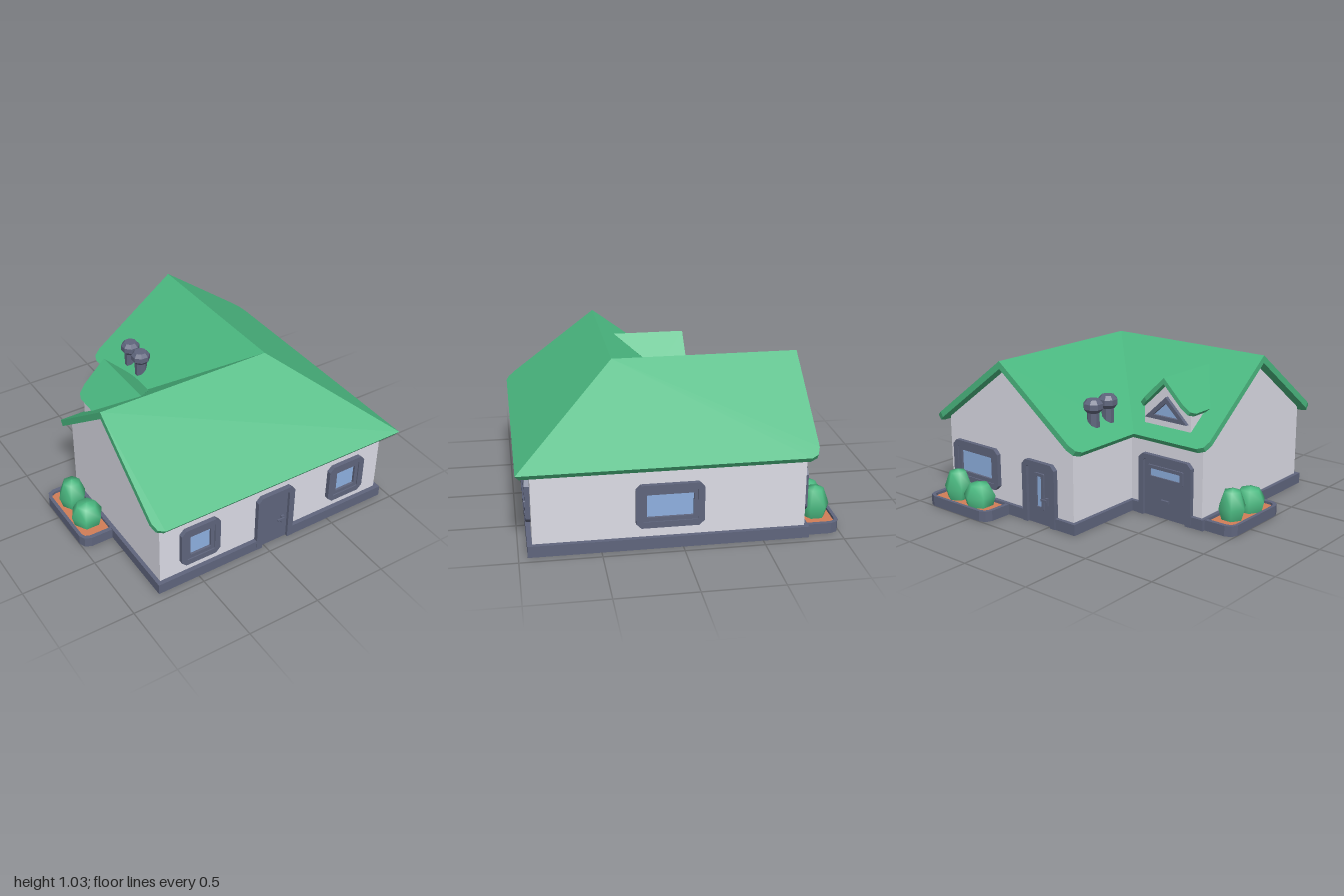
import * as THREE from 'three';

const mat = (name, color) => {
  const m = new THREE.MeshStandardMaterial({ color });
  m.name = name;
  return m;
};

export function createModel() {
  const green = mat('green', 0x4bb981);
  const wall = mat('wall grey', 0xdcdce6);
  const slate = mat('slate', 0x5f657d);
  const glass = mat('glass blue', 0x8eb0e0);
  const soil = mat('soil', 0xd27e57);
  const house = new THREE.Group();
  house.name = 'house';

  const add = (parent, name, geo, m, x = 0, y = 0, z = 0) => {
    const mesh = new THREE.Mesh(geo, m);
    mesh.name = name;
    mesh.position.set(x, y, z);
    parent.add(mesh);
  };
  const group = (name, x, z, turn) => {
    const g = new THREE.Group();
    g.name = name;
    g.position.set(x, 0, z);
    g.rotation.y = turn;
    house.add(g);
    return g;
  };
  const vecs = pts => pts.map(([x, y]) => new THREE.Vector2(x, y));
  // Extrude an outline along +z, with an optional hole
  const extrude = (pts, depth, hole) => {
    const s = new THREE.Shape(vecs(pts));
    if (hole) s.holes.push(new THREE.Path(vecs(hole)));
    return new THREE.ExtrudeGeometry(s, { depth, bevelEnabled: false });
  };
  // Extrude a plan outline given as (x, z) upwards
  const flat = (pts, h, hole) => {
    const f = p => p.map(([x, z]) => [x, -z]);
    return extrude(f(pts), h, hole && f(hole)).rotateX(-Math.PI / 2);
  };
  // Rectangle with chamfered top corners, optionally bottom corners too
  const panel = (w, y0, y1, c, bottom) => {
    const a = w / 2, pts = bottom ? [[a - c, y0], [a, y0 + c]] : [[a, y0]];
    pts.push([a, y1 - c], [a - c, y1], [c - a, y1], [-a, y1 - c]);
    return pts.concat(bottom ? [[-a, y0 + c], [c - a, y0]] : [[-a, y0]]);
  };

  // Walls: low L-shaped block plus a gabled prism for each wing
  const W0 = -0.765, W1 = 0.915, IN = -0.195, MID = 0.36;
  add(house, 'walls', flat([[W0, IN], [W0, W1], [W1, W1], [W1, W0], [IN, W0], [IN, IN]], 0.545), wall, 0, 0.015, 0);
  const gable = [[IN, 0.3], [W1, 0.3], [W1, 0.56], [MID, 0.975], [IN, 0.56]];
  add(house, 'backGable', extrude(gable, MID - W0), wall, 0, 0, W0);
  const turned = gable.map(([z, y]) => [-z, y]);
  add(house, 'leftGable', extrude(turned, MID - W0).rotateY(Math.PI / 2), wall, W0, 0, 0);

  // Plinth with notches at the three doors
  const P0 = -0.791, P1 = 0.945, PI = -0.222;
  add(house, 'plinth', flat([
    [P0, PI], [P0, P1], [-0.025, P1], [-0.025, W1], [0.175, W1], [0.175, P1], [P1, P1], [P1, P0],
    [0.18, P0], [0.18, W0], [-0.02, W0], [-0.02, P0], [PI, P0], [PI, PI],
    [-0.315, PI], [-0.315, IN], [-0.655, IN], [-0.655, PI],
  ], 0.073), slate);

  // Solid roof slab between a convex top outline and its lower copy
  const slab = (top, low) => {
    const pos = [];
    const tri = (...p) => p.forEach(v => pos.push(...v));
    top.forEach((a, i) => {
      const j = (i + 1) % top.length;
      tri(a, low[i], low[j]);
      tri(a, low[j], top[j]);
      if (i > 0 && j > 0) {
        tri(top[0], a, top[j]);
        tri(low[0], low[j], low[i]);
      }
    });
    const g = new THREE.BufferGeometry();
    g.setAttribute('position', new THREE.Float32BufferAttribute(pos, 3));
    g.computeVertexNormals();
    return g;
  };

  // Main roof: two slopes per wing, the second wing swaps x and z
  const k = 0.9625;
  const shrink = v => (v < -0.5 ? v : MID + (v - MID) * k);
  const height = z => 1.035 - 0.75 * Math.abs(z - MID);
  const slopes = {
    outer: [[-0.83, MID], [-0.83, 0.94], [-0.812, 0.982], [-0.77, 1], [1, 1], [MID, MID]],
    inner: [[MID, MID], [-0.28, -0.28], [-0.77, -0.28], [-0.812, -0.262], [-0.83, -0.22], [-0.83, MID]],
  };
  for (const [name, pts] of Object.entries(slopes)) {
    const top = pts.map(([x, z]) => [x, height(z), z]);
    const low = pts.map(([x, z]) => [shrink(x), height(shrink(z)) - 0.05, shrink(z)]);
    const swap = p => p.map(([x, y, z]) => [z, y, x]).reverse();
    add(house, name + 'RoofFrontWing', slab(top, low), green);
    add(house, name + 'RoofSideWing', slab(swap(top), swap(low)), green);
  }

  // Dormer with a triangular window facing back
  const dormer = group('dormer', -0.485, 0, 0);
  const dh = x => 0.949 - 0.98 * Math.abs(x);
  const dp = [[0, -0.24], [0, 0.245], [0.21, -0.03], [0.21, -0.18], [0.195, -0.222], [0.15, -0.24]];
  for (const s of [1, -1]) {
    const top = dp.map(([x, z]) => [s * x, dh(x), z]);
    const low = dp.map(([x, z]) => [s * x * 0.91, dh(x * 0.91) - 0.04, z]);
    if (s < 0) { top.reverse(); low.reverse(); }
    add(dormer, 'dormerRoof', slab(top, low), green);
  }
  add(dormer, 'dormerWall', extrude([[-0.182, 0.6], [0.182, 0.6], [0.182, 0.728], [0, 0.9], [-0.182, 0.728]], 0.34), wall, 0, 0, -0.195);
  const hole = [[-0.1, 0.69], [0.1, 0.69], [0, 0.78]];
  add(dormer, 'dormerFrame', extrude([[-0.165, 0.665], [0.165, 0.665], [0, 0.82]], 0.025, hole), slate, 0, 0, -0.219);
  add(dormer, 'dormerGlass', extrude(hole, 0.006), glass, 0, 0, -0.2);

  // Windows: outer frame, stepped inner frame and glass
  const pane = (g, w, y0, y1, z) =>
    add(g, 'glass', new THREE.BoxGeometry(w, y1 - y0, 0.008), glass, 0, (y0 + y1) / 2, z);
  const ring = (g, name, w, y0, y1, c, t, depth, z = 0) =>
    add(g, name, extrude(panel(w, y0, y1, c, true), depth, panel(w - 2 * t, y0 + t, y1 - t, 0.004, true)), slate, 0, 0, z);
  const makeWindow = (name, x, z, turn, w) => {
    const g = group(name, x, z, turn);
    ring(g, 'outerFrame', w, 0.14, 0.42, 0.032, 0.04, 0.03);
    ring(g, 'innerFrame', w - 0.08, 0.18, 0.38, 0.002, 0.026, 0.022);
    pane(g, w - 0.13, 0.205, 0.355, 0.002);
  };
  makeWindow('frontWindowRight', -0.485, W1, 0, 0.28);
  makeWindow('frontWindowLeft', 0.635, W1, 0, 0.28);
  makeWindow('sideWindow', W1, 0.08, Math.PI / 2, 0.42);
  makeWindow('backWindow', 0.655, W0, Math.PI, 0.42);

  // Doors: surround open at the bottom, recessed leaf
  const makeDoor = (name, x, z, turn, w) => {
    const g = group(name, x, z, turn);
    const inner = panel(w - 0.08, 0, 0.385, 0.01).reverse();
    add(g, 'surround', extrude([...panel(w, 0, 0.42, 0.032), ...inner], 0.032), slate);
    add(g, 'leaf', new THREE.BoxGeometry(w - 0.08, 0.385, 0.012), slate, 0, 0.1925, 0.006);
    return g;
  };
  const addHandle = g => {
    add(g, 'handlePlate', new THREE.BoxGeometry(0.022, 0.05, 0.014), slate, 0.063, 0.165, 0.017);
    add(g, 'handleLever', new THREE.BoxGeometry(0.05, 0.014, 0.01), slate, 0.045, 0.172, 0.028);
  };
  addHandle(makeDoor('frontDoor', 0.075, W1, 0, 0.28));
  const backDoor = makeDoor('backDoor', 0.08, W0, Math.PI, 0.28);
  addHandle(backDoor);
  ring(backDoor, 'paneFrame', 0.08, 0.1, 0.345, 0.004, 0.02, 0.012, 0.012);
  pane(backDoor, 0.042, 0.118, 0.327, 0.01);
  const garage = makeDoor('garageDoor', -0.485, IN, Math.PI, 0.42);
  ring(garage, 'paneFrame', 0.28, 0.255, 0.35, 0.004, 0.022, 0.012, 0.012);
  pane(garage, 0.24, 0.275, 0.33, 0.01);
  add(garage, 'garageHandle', new THREE.BoxGeometry(0.06, 0.018, 0.016), slate, 0, 0.12, 0.02);

  // Planters with two faceted bushes
  const bush = (g, x, pts) =>
    add(g, 'bush', new THREE.LatheGeometry(vecs(pts), 6), green, x, 0, 0.113);
  const makePlanter = (name, x, z, turn) => {
    const g = group(name, x, z, turn);
    const bed = (a, z0, z1, c) => [[-a, z0], [-a, z1 - c], [-a + c * 0.3, z1 - c * 0.3], [-a + c, z1],
      [a - c, z1], [a - c * 0.3, z1 - c * 0.3], [a, z1 - c], [a, z0]];
    const outer = bed(0.278, 0.005, 0.235, 0.06), inside = bed(0.25, 0.028, 0.213, 0.04);
    add(g, 'rim', flat(outer, 0.07, inside), slate);
    add(g, 'floor', flat(inside, 0.045), slate);
    add(g, 'soil', flat(inside, 0.008), soil, 0, 0.045, 0);
    bush(g, 0.098, [[0.088, 0.045], [0.108, 0.12], [0.066, 0.194], [0, 0.208]]);
    bush(g, -0.106, [[0.07, 0.045], [0.095, 0.13], [0.057, 0.238], [0, 0.254]]);
  };
  makePlanter('backPlanter', 0.633, W0, Math.PI);
  makePlanter('leftPlanter', W0, 0.078, -Math.PI / 2);

  // Octagonal chimney pots
  const profile = [[0.042, 0.58], [0.042, 0.725], [0.064, 0.75], [0.064, 0.785], [0.042, 0.81], [0, 0.81]];
  const pot = new THREE.LatheGeometry(vecs(profile), 8, Math.PI / 8).toNonIndexed();
  pot.computeVertexNormals();
  for (const z of [-0.51, -0.37]) add(house, 'chimney', pot, slate, -0.14, 0, z);

  return house;
}
